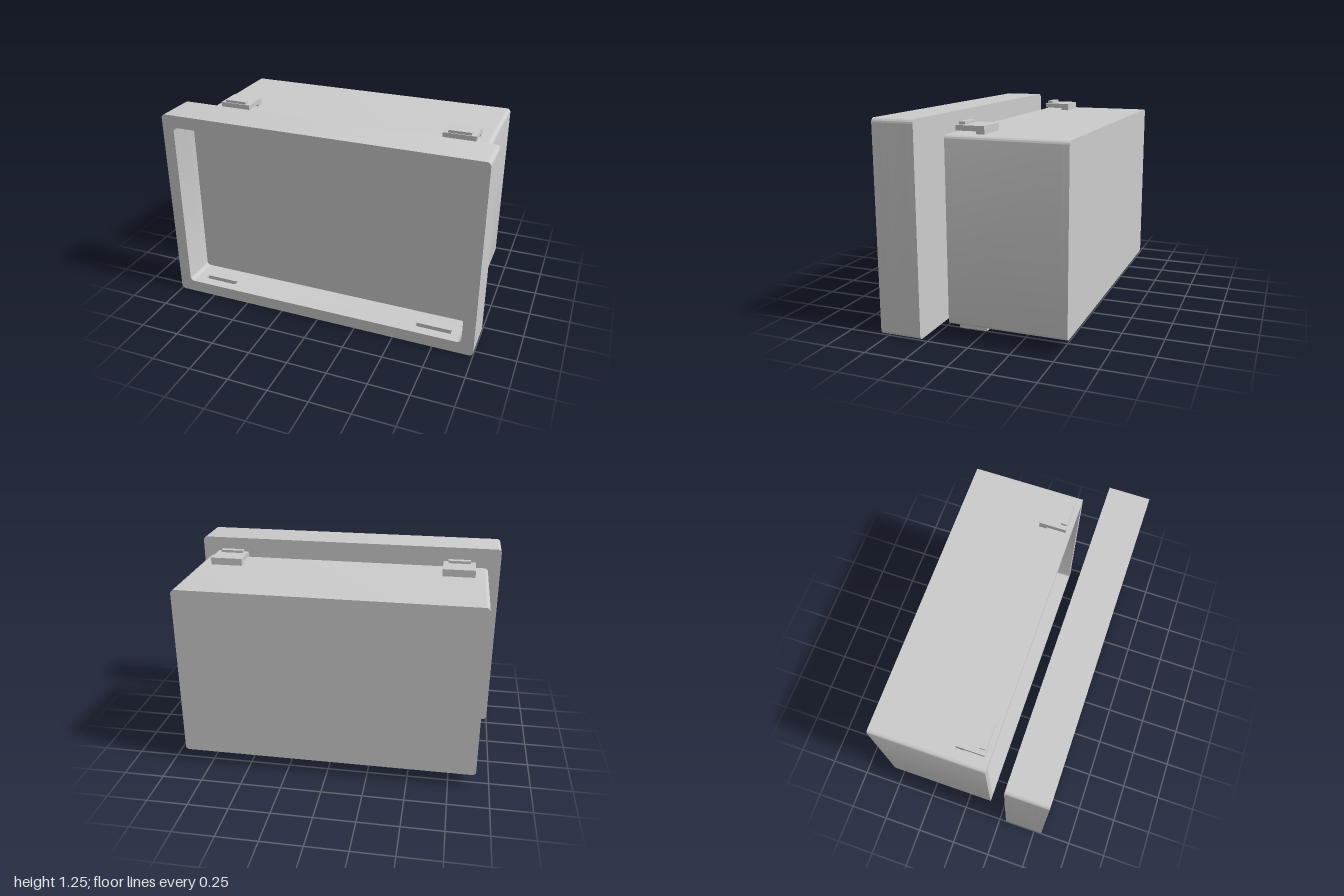
import * as THREE from 'three';
import { toCreasedNormals } from 'three/addons/utils/BufferGeometryUtils.js';

const MID_Y = 0.625;
const CLIP_X = 0.735;
const material = new THREE.MeshStandardMaterial({ color: 0xcccccc });

// Rounded rectangle centred on the origin, drawn into a Shape or Path.
// With notch sizes given, its top and bottom edges get two pockets each.
function roundedRect(path, w, h, r, notchWidth = 0, notchDepth = 0) {
  const x = w / 2, y = h / 2;
  const pockets = (side) => {
    if (!notchWidth) return;
    for (const cx of [side * CLIP_X, -side * CLIP_X]) {
      const a = cx + side * notchWidth / 2, b = cx - side * notchWidth / 2;
      path.lineTo(a, side * y);
      path.lineTo(a, side * (y + notchDepth));
      path.lineTo(b, side * (y + notchDepth));
      path.lineTo(b, side * y);
    }
  };
  path.moveTo(x, -y + r);
  path.lineTo(x, y - r);
  path.absarc(x - r, y - r, r, 0, Math.PI / 2);
  pockets(1);
  path.lineTo(-x + r, y);
  path.absarc(-x + r, y - r, r, Math.PI / 2, Math.PI);
  path.lineTo(-x, -y + r);
  path.absarc(-x + r, -y + r, r, Math.PI, Math.PI * 1.5);
  pockets(-1);
  path.lineTo(x - r, -y);
  path.absarc(x - r, -y + r, r, Math.PI * 1.5, Math.PI * 2);
  return path;
}

// Slab between two z values, with an optional hole
function slab(name, outer, hole, z0, z1) {
  const shape = roundedRect(new THREE.Shape(), ...outer);
  if (hole) shape.holes.push(roundedRect(new THREE.Path(), ...hole));
  const geometry = new THREE.ExtrudeGeometry(shape, { depth: z1 - z0, bevelEnabled: false, curveSegments: 8 });
  const mesh = new THREE.Mesh(toCreasedNormals(geometry, 0.6), material);
  mesh.name = name;
  mesh.position.set(0, MID_Y, z0);
  return mesh;
}

function block(name, width, y0, y1, z0, z1) {
  const mesh = new THREE.Mesh(new THREE.BoxGeometry(width, y1 - y0, z1 - z0), material);
  mesh.name = name;
  mesh.position.set(0, (y0 + y1) / 2, (z0 + z1) / 2);
  return mesh;
}

// Snap clip: foot on the case, forward-reaching tongue and catch ridge
function createClip() {
  const clip = new THREE.Group();
  clip.name = 'snapClip';
  clip.add(
    block('clipFoot', 0.2, 0.53, 0.555, -0.045, 0.003),
    block('clipTongue', 0.2, 0.555, 0.585, -0.045, 0.125),
    block('clipRidge', 0.14, 0.585, 0.601, 0.083, 0.118)
  );
  return clip;
}

export function createModel() {
  const model = new THREE.Group();
  model.name = 'enclosure';

  // Front cover: tray open to the front, pockets in its top and bottom walls
  const cover = new THREE.Group();
  cover.name = 'frontCover';
  const coverOuter = [2, 1.25, 0.025];
  const opening = [1.85, 1.096, 0.025];
  cover.add(
    slab('coverPanel', coverOuter, null, 0.295, 0.335),
    slab('coverRimBack', coverOuter, opening, 0.335, 0.455),
    slab('coverRimPockets', coverOuter, [...opening, 0.22, 0.05], 0.455, 0.488),
    slab('coverRimFront', coverOuter, opening, 0.488, 0.55)
  );
  model.add(cover);

  // Rear case: hollow box with its mouth towards the cover
  const rearCase = new THREE.Group();
  rearCase.name = 'rearCase';
  const caseOuter = [1.832, 1.08, 0.025];
  rearCase.add(
    slab('caseBack', caseOuter, null, -0.55, -0.51),
    slab('caseWalls', caseOuter, [1.752, 1.0, 0.015], -0.51, 0.155)
  );

  // Four clips, two above and two below
  for (const x of [-CLIP_X, CLIP_X]) {
    for (const turn of [0, Math.PI]) {
      const clip = createClip();
      if (turn) {
        clip.children.forEach((part) => { part.position.y *= -1; });
      }
      clip.position.set(x, MID_Y, 0);
      rearCase.add(clip);
    }
  }
  model.add(rearCase);
  return model;
}
